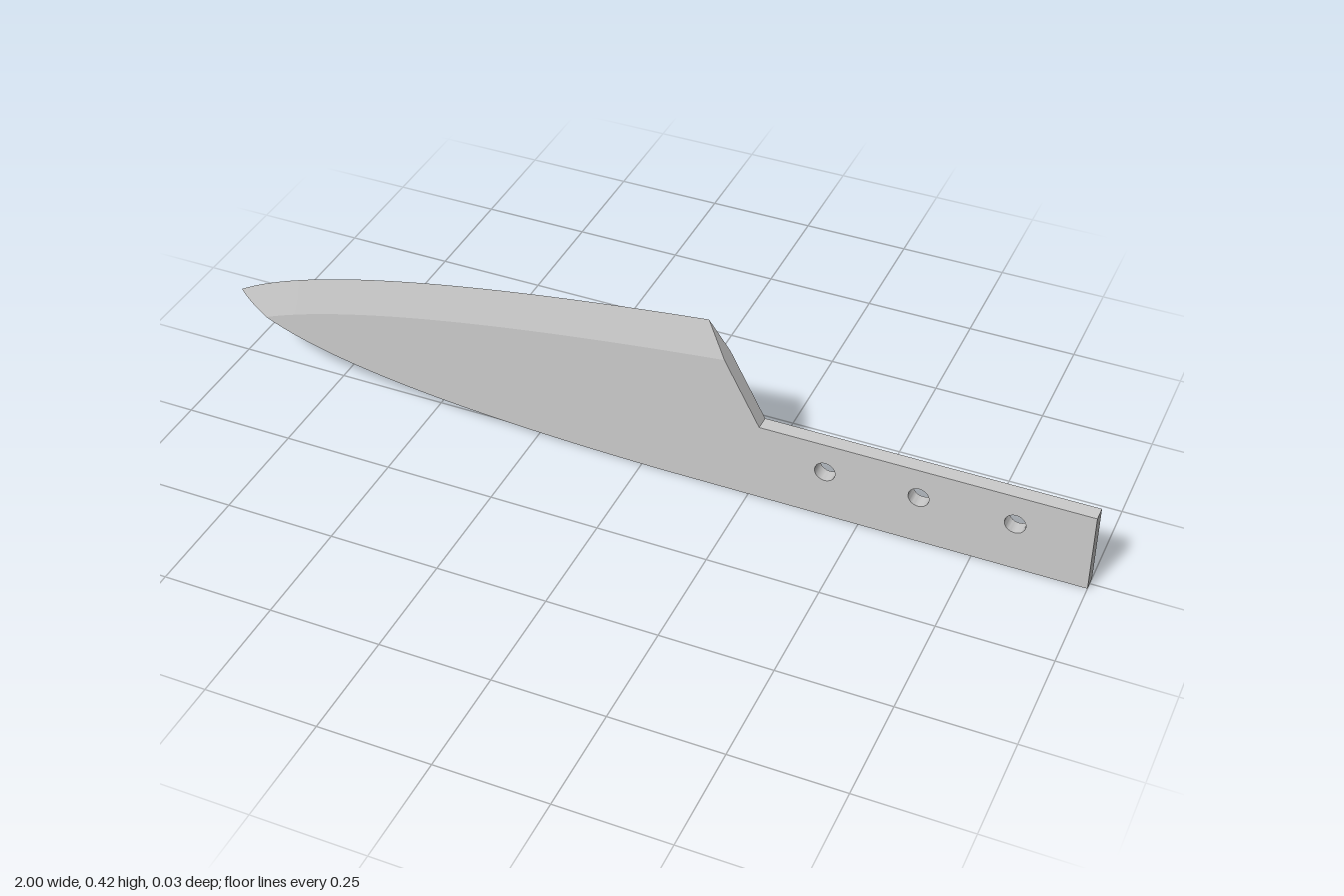
import * as THREE from 'three';
import { toCreasedNormals } from 'three/addons/utils/BufferGeometryUtils.js';

const H = 0.017;      // half thickness
const BEVEL = 0.08;   // height of the ground edge
const v2 = (x, y) => new THREE.Vector2(x, y);

// Cutting edge (top) and spine (bottom), both running from the tip
const edge = new THREE.QuadraticBezierCurve(v2(-1, 0.17), v2(-0.75, 0.32), v2(0.145, 0.42));
const spine = new THREE.QuadraticBezierCurve(v2(-1, 0.17), v2(-0.84, 0.01), v2(0.05, 0));

function bisect(f, lo, hi) {
  for (let i = 0; i < 40; i++) {
    const mid = (lo + hi) / 2;
    if (f(mid) < 0) lo = mid; else hi = mid;
  }
  return (lo + hi) / 2;
}
const spineParam = x => (x >= 0.05 ? 1 : bisect(u => spine.getPoint(u).x - x, 0, 1));

// Line where the bevel meets the flat of the blade
const bevelPoint = t => edge.getPoint(t).add(v2(0.043 * t, -BEVEL));
const tipEnd = bisect(t => {
  const p = bevelPoint(t);
  return p.y - spine.getPoint(spineParam(p.x)).y;
}, 0, 0.6);

const BEVEL_STEPS = 32, TIP_STEPS = 8;
const bevelParam = i => tipEnd + (1 - tipEnd) * i / BEVEL_STEPS;

// Flat of the blade and tang in one plate, with rivet holes
function plateGeometry() {
  const pts = [];
  const u0 = spineParam(bevelPoint(tipEnd).x);
  for (let i = 0; i <= 32; i++) pts.push(spine.getPoint(u0 + (1 - u0) * i / 32));
  pts.push(v2(1, 0), v2(1, 0.188), v2(0.27, 0.188));
  for (let i = BEVEL_STEPS; i > 0; i--) pts.push(bevelPoint(bevelParam(i)));
  const shape = new THREE.Shape(pts);
  for (const x of [0.42, 0.627, 0.835]) {
    shape.holes.push(new THREE.Path().absarc(x, 0.117, 0.023, 0, Math.PI * 2, true));
  }
  const geo = new THREE.ExtrudeGeometry(shape, { depth: 2 * H, bevelEnabled: false, curveSegments: 10 });
  geo.translate(0, 0, -H);
  return toCreasedNormals(geo, 0.5);
}

// Ground edge: triangular sections from the tip to the heel
function edgeGeometry() {
  const sections = [];
  const add = (t, low) => {
    const e = edge.getPoint(t);
    const h = H * Math.min(1, Math.max(0, (e.y - low.y) / BEVEL));
    sections.push([[e.x, e.y, 0], [low.x, low.y, h], [low.x, low.y, -h]]);
  };
  for (let i = 0; i < TIP_STEPS; i++) {
    const t = tipEnd * i / TIP_STEPS;
    add(t, spine.getPoint(spineParam(bevelPoint(t).x)));
  }
  for (let i = 0; i <= BEVEL_STEPS; i++) add(bevelParam(i), bevelPoint(bevelParam(i)));

  const pos = [];
  const quad = (a, b, c, d) => pos.push(...a, ...b, ...c, ...a, ...c, ...d);
  for (let i = 0; i < sections.length - 1; i++) {
    const [e0, f0, b0] = sections[i], [e1, f1, b1] = sections[i + 1];
    quad(f0, f1, e1, e0);
    quad(b1, b0, e0, e1);
    if (i < TIP_STEPS) quad(b0, b1, f1, f0); // spine side of the tip
  }
  const [e, f, b] = sections[sections.length - 1];
  pos.push(...f, ...b, ...e); // heel
  const geo = new THREE.BufferGeometry();
  geo.setAttribute('position', new THREE.Float32BufferAttribute(pos, 3));
  geo.computeVertexNormals();
  return toCreasedNormals(geo, 0.3);
}

export function createModel() {
  const group = new THREE.Group();
  group.name = 'knifeBlade';
  const material = new THREE.MeshStandardMaterial({ color: 0xcccccc });
  const addPart = (name, geo) => {
    const mesh = new THREE.Mesh(geo, material);
    mesh.name = name;
    group.add(mesh);
  };
  addPart('bladeAndTang', plateGeometry());
  addPart('cuttingEdge', edgeGeometry());
  return group;
}
